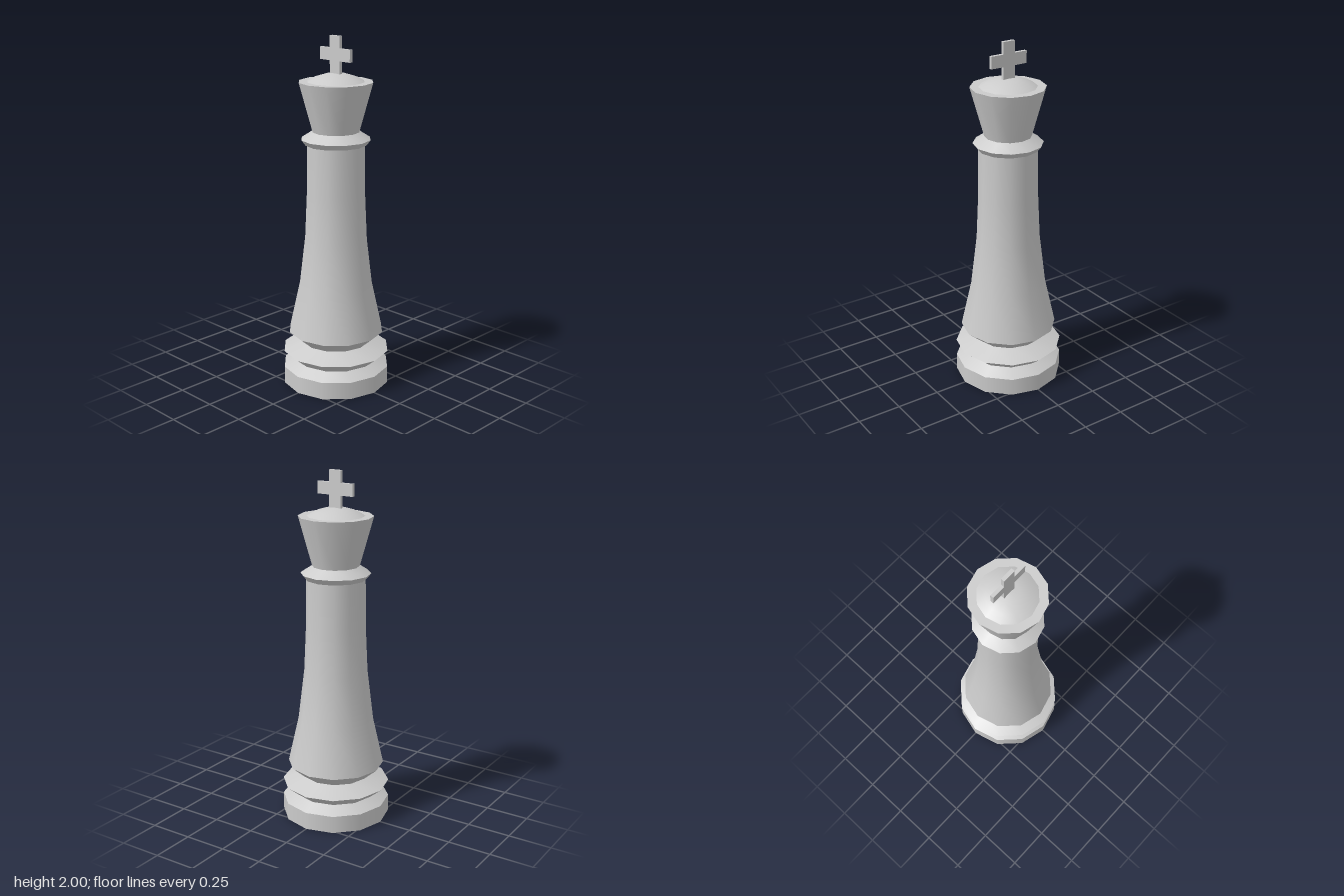
import * as THREE from 'three';

const SIDES = 12;

export function createModel() {
  const group = new THREE.Group();
  const material = new THREE.MeshStandardMaterial({ color: 0xcccccc });

  const add = (name, geometry, parent = group) => {
    const mesh = new THREE.Mesh(geometry, material);
    mesh.name = name;
    parent.add(mesh);
    return mesh;
  };

  // One smooth turned band; separate bands keep the edges between them sharp
  const band = (points, name, parent) =>
    add(name, new THREE.LatheGeometry(points.map(([r, y]) => new THREE.Vector2(r, y)), SIDES), parent);

  // A part made of straight bands with a crisp edge at every profile point
  const turned = (name, points) => {
    const part = new THREE.Group();
    part.name = name;
    for (let i = 0; i < points.length - 1; i++) band([points[i], points[i + 1]], name + 'Band', part);
    group.add(part);
  };

  // Foot disc and the flared ring above it
  turned('base', [[0, 0], [0.308, 0], [0.308, 0.1], [0.238, 0.14]]);
  turned('baseRing', [[0.238, 0.14], [0.308, 0.198], [0.195, 0.243]]);

  // Tapered column with its undercut
  turned('bodyUndercut', [[0.195, 0.243], [0.275, 0.312]]);
  band([[0.275, 0.312], [0.215, 0.58], [0.18, 0.87], [0.168, 1.13], [0.165, 1.405]], 'body');

  // Collar below the crown
  turned('collar', [[0.165, 1.405], [0.172, 1.405], [0.196, 1.436], [0.132, 1.477]]);

  // Flared crown, flat rim and low dome
  turned('crown', [[0.132, 1.477], [0.208, 1.753], [0.16, 1.753]]);
  band([[0.16, 1.753], [0.115, 1.777], [0.06, 1.794], [0, 1.798]], 'dome');

  // Thin cross on top
  const w = 0.037, arm = 0.113, low = 1.865, high = 1.933;
  const outline = [[w, 1.78], [w, low], [arm, low], [arm, high], [w, high], [w, 2]];
  const mirrored = outline.map(([x, y]) => [-x, y]).reverse();
  const shape = new THREE.Shape([...outline, ...mirrored].map(([x, y]) => new THREE.Vector2(x, y)));
  const cross = new THREE.ExtrudeGeometry(shape, { depth: 0.02, bevelEnabled: false });
  add('cross', cross.translate(0, 0, -0.01));

  return group;
}
